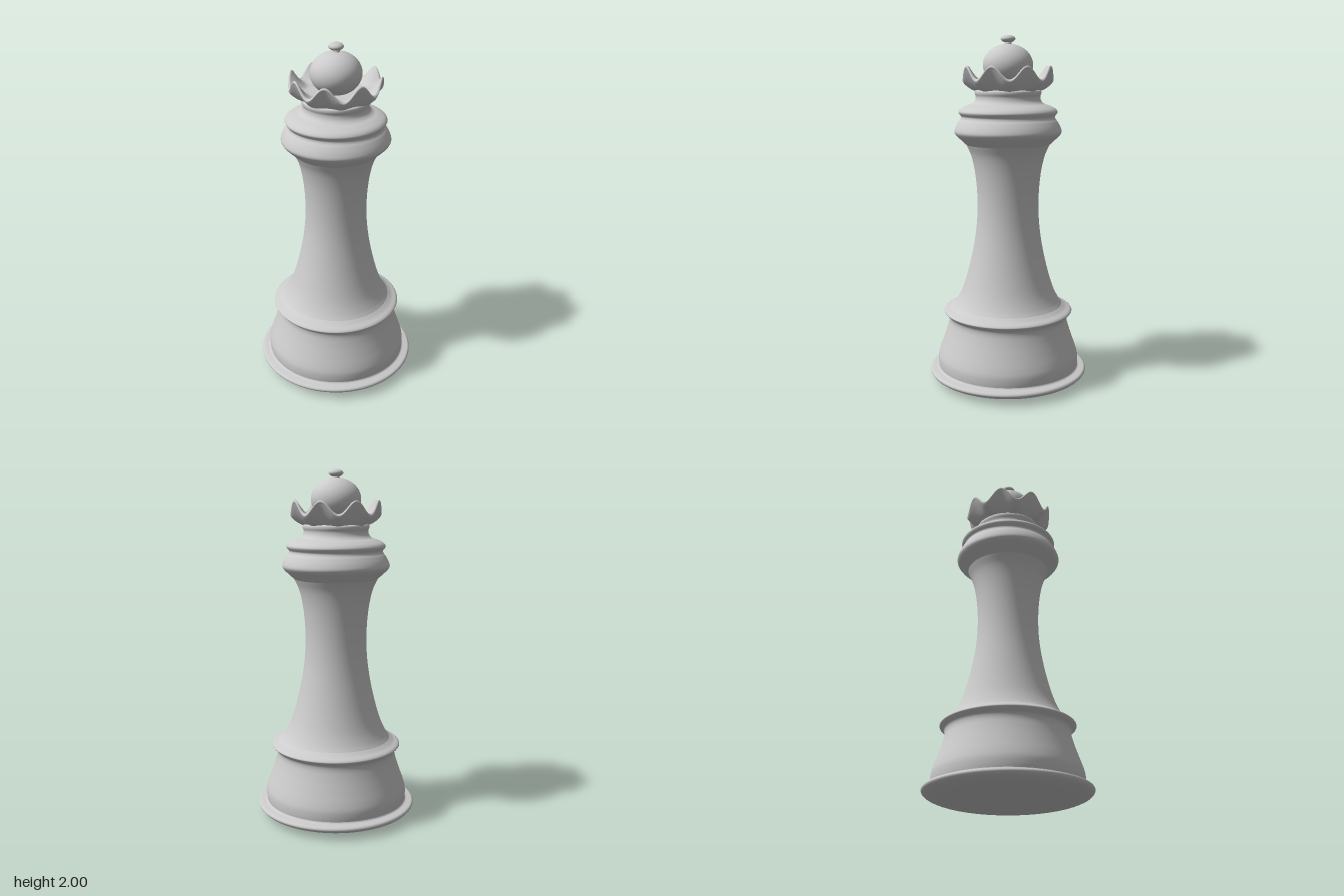
import * as THREE from 'three';
import { mergeVertices } from 'three/addons/utils/BufferGeometryUtils.js';

const material = new THREE.MeshStandardMaterial({ color: 0xcccccc });

// Smooth turned shape through [radius, height] pairs, listed bottom to top
function turned(pairs, steps, sides) {
  const curve = new THREE.CatmullRomCurve3(
    pairs.map(([r, y]) => new THREE.Vector3(r, y, 0)), false, 'centripetal');
  const points = curve.getPoints(steps).map(p => new THREE.Vector2(Math.max(p.x, 0), p.y));
  return new THREE.LatheGeometry(points, sides);
}

function addPart(group, name, geometry, y = 0) {
  const mesh = new THREE.Mesh(geometry, material);
  mesh.name = name;
  mesh.position.y = y;
  group.add(mesh);
  return mesh;
}

// Thin flared bowl whose rim rises and falls in eight points
function crownGeometry() {
  const geometry = turned([
    [0.155, 1.68], [0.183, 1.697], [0.205, 1.715], [0.233, 1.748], [0.25, 1.774],
    [0.255, 1.787], [0.247, 1.795], [0.232, 1.783], [0.2, 1.757], [0.165, 1.74], [0.1, 1.735], [0, 1.735],
  ], 66, 160);
  const pos = geometry.attributes.position;
  for (let i = 0; i < pos.count; i++) {
    const x = pos.getX(i), z = pos.getZ(i);
    const flare = THREE.MathUtils.clamp((Math.hypot(x, z) - 0.165) / 0.085, 0, 1);
    const wave = -Math.cos(8 * Math.atan2(x, z));
    pos.setY(i, pos.getY(i) + 0.038 * Math.pow(flare, 1.2) * wave);
  }
  // Weld the seam so the shading runs all the way round
  geometry.deleteAttribute('uv');
  geometry.deleteAttribute('normal');
  const welded = mergeVertices(geometry, 1e-5);
  welded.computeVertexNormals();
  return welded;
}

export function createModel() {
  const model = new THREE.Group();
  model.name = 'chessQueen';

  // Rounded foot disc
  addPart(model, 'foot', turned([
    [0, 0], [0.15, 0.001], [0.28, 0.004], [0.36, 0.013], [0.42, 0.028], [0.452, 0.045],
    [0.461, 0.06], [0.455, 0.071], [0.435, 0.076], [0.415, 0.081], [0.408, 0.095],
  ], 50, 96));

  // Flared plinth ending in a thin flange
  addPart(model, 'plinth', turned([
    [0.41, 0.08], [0.413, 0.11], [0.412, 0.145], [0.403, 0.18], [0.38, 0.245], [0.357, 0.315],
    [0.346, 0.365], [0.35, 0.388], [0.367, 0.405], [0.375, 0.416], [0.368, 0.426], [0.34, 0.439],
    [0.315, 0.456],
  ], 70, 96));

  // Waisted column
  addPart(model, 'column', turned([
    [0.315, 0.456], [0.298, 0.48], [0.27, 0.535], [0.237, 0.635], [0.203, 0.78], [0.183, 0.91],
    [0.176, 1.03], [0.18, 1.15], [0.194, 1.26], [0.213, 1.335], [0.238, 1.39],
  ], 60, 96));

  // Two-ring collar and the neck beneath the crown
  addPart(model, 'collar', turned([
    [0.238, 1.39], [0.268, 1.418], [0.295, 1.444], [0.305, 1.463], [0.298, 1.49], [0.28, 1.522],
    [0.268, 1.538], [0.266, 1.55], [0.277, 1.565], [0.281, 1.576], [0.27, 1.592], [0.235, 1.61],
    [0.203, 1.622], [0.187, 1.638], [0.182, 1.66], [0.188, 1.68], [0.185, 1.694], [0.155, 1.704],
  ], 100, 96));

  addPart(model, 'crown', crownGeometry());

  // Domed cap, short stem and finial bead
  addPart(model, 'dome', new THREE.SphereGeometry(0.141, 64, 40), 1.835).scale.y = 0.83;
  addPart(model, 'finialStem', new THREE.CylinderGeometry(0.016, 0.024, 0.03, 32), 1.957);
  addPart(model, 'finial', new THREE.SphereGeometry(0.041, 40, 24), 1.979).scale.y = 0.52;

  return model;
}
